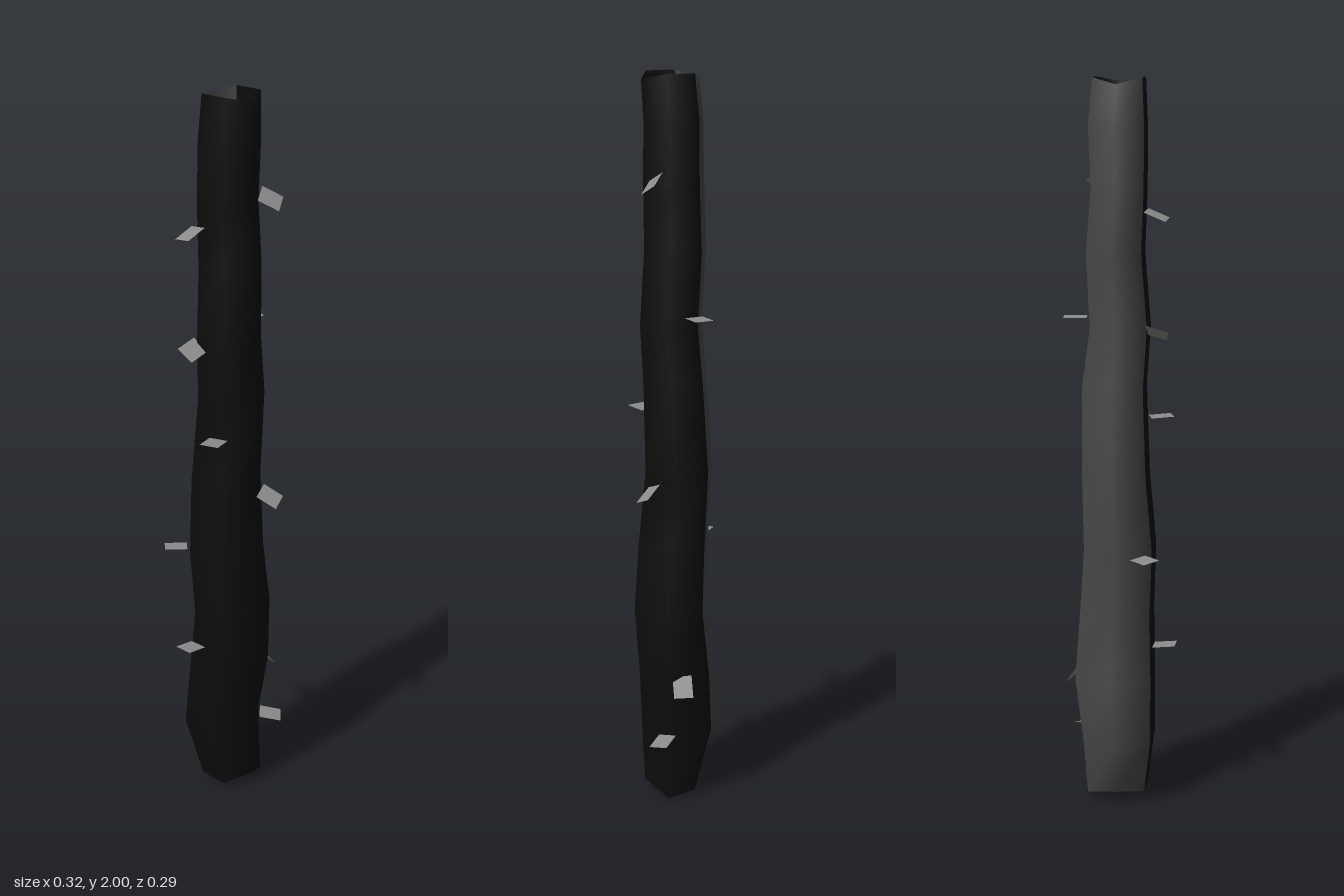
import * as THREE from 'three';

// Trunk cross-sections from bottom to top: y, left x, right x, front z, back z
const RINGS = [
  [0.02, -0.07, 0.09, 0.103, -0.055],
  [0.19, -0.092, 0.095, 0.108, -0.12],
  [0.36, -0.09, 0.12, 0.119, -0.1],
  [0.55, -0.085, 0.108, 0.132, -0.083],
  [0.73, -0.092, 0.095, 0.115, -0.092],
  [0.94, -0.075, 0.098, 0.098, -0.098],
  [1.18, -0.065, 0.1, 0.105, -0.078],
  [1.34, -0.075, 0.079, 0.108, -0.07],
  [1.54, -0.06, 0.088, 0.1, -0.077],
  [1.71, -0.066, 0.075, 0.098, -0.075],
  [1.88, -0.066, 0.082, 0.098, -0.07],
  [1.993, -0.06, 0.072, 0.103, -0.06],
];

// Uneven heights of the six corners on the open ends
const BOTTOM_JITTER = [0.015, -0.005, -0.02, 0.015, 0, 0.005];
const TOP_JITTER = [-0.01, 0.007, 0.007, -0.008, 0.007, 0.007];

// Leaf centre x, y, z, then outward heading, slope and roll in degrees
const LEAVES = [
  [0.07, 1.725, 0.1, 45, -28, 35],
  [-0.1, 1.645, -0.025, 184, -22, 8],
  [-0.1, 1.33, -0.018, 182, -15, -35],
  [-0.105, 1.09, 0.06, 163, 3, 0],
  [-0.08, 0.725, -0.105, 225, 0, 5],
  [-0.125, 0.46, -0.01, 182, 6, 0],
  [0.12, 1.37, -0.012, -5, 0, 0],
  [0.065, 0.893, 0.112, 60, -30, 25],
  [0.135, 0.35, 0.04, 15, -55, 0],
  [0.105, 0.185, 0.088, 48, -12, 8],
];

// Hollow six-sided trunk, smooth shaded, with a paler ridge along the back
function makeTrunk() {
  const positions = [];
  RINGS.forEach(([y, left, right, front, back], i) => {
    const midX = (left + right) / 2;
    const midZ = (front + back) / 2;
    const half = (front - back) / 4;
    const corners = [
      [midX, back], [right, midZ - half], [right, midZ + half],
      [midX, front], [left, midZ + half], [left, midZ - half],
    ];
    const jitter = i === 0 ? BOTTOM_JITTER : i === RINGS.length - 1 ? TOP_JITTER : null;
    corners.forEach(([x, z], k) => positions.push(x, y + (jitter ? jitter[k] : 0), z));
  });

  const index = [];
  for (let k = 0; k < 6; k++) {
    for (let i = 0; i < RINGS.length - 1; i++) {
      const a = i * 6 + k;
      const b = i * 6 + ((k + 1) % 6);
      index.push(b, a, a + 6, b, a + 6, b + 6);
    }
  }
  const geometry = new THREE.BufferGeometry();
  geometry.setAttribute('position', new THREE.Float32BufferAttribute(positions, 3));
  geometry.setIndex(index);
  geometry.computeVertexNormals();

  // The first and last columns meet at the back ridge
  const column = (RINGS.length - 1) * 6;
  geometry.addGroup(0, column, 1);
  geometry.addGroup(column, column * 4, 0);
  geometry.addGroup(column * 5, column, 1);

  const bark = new THREE.MeshStandardMaterial({ color: 0x0c0c0c, side: THREE.DoubleSide });
  const ridge = new THREE.MeshStandardMaterial({ color: 0x484848, side: THREE.DoubleSide });
  const trunk = new THREE.Mesh(geometry, [bark, ridge]);
  trunk.name = 'trunk';
  return trunk;
}

// Small flat square leaves sticking out of the bark
function makeLeaves() {
  const leaves = new THREE.Group();
  leaves.name = 'leaves';
  const geometry = new THREE.PlaneGeometry(0.062, 0.053).rotateX(-Math.PI / 2);
  const material = new THREE.MeshStandardMaterial({ color: 0x8c8c8c, side: THREE.DoubleSide });
  const rad = THREE.MathUtils.degToRad;
  for (const [x, y, z, heading, slope, roll] of LEAVES) {
    const leaf = new THREE.Mesh(geometry, material);
    leaf.name = 'leaf';
    leaf.position.set(x, y, z);
    leaf.rotation.set(rad(roll), rad(-heading), rad(slope), 'YZX');
    leaves.add(leaf);
  }
  return leaves;
}

export function createModel() {
  const model = new THREE.Group();
  model.name = 'treeTrunk';
  model.add(makeTrunk(), makeLeaves());
  return model;
}
